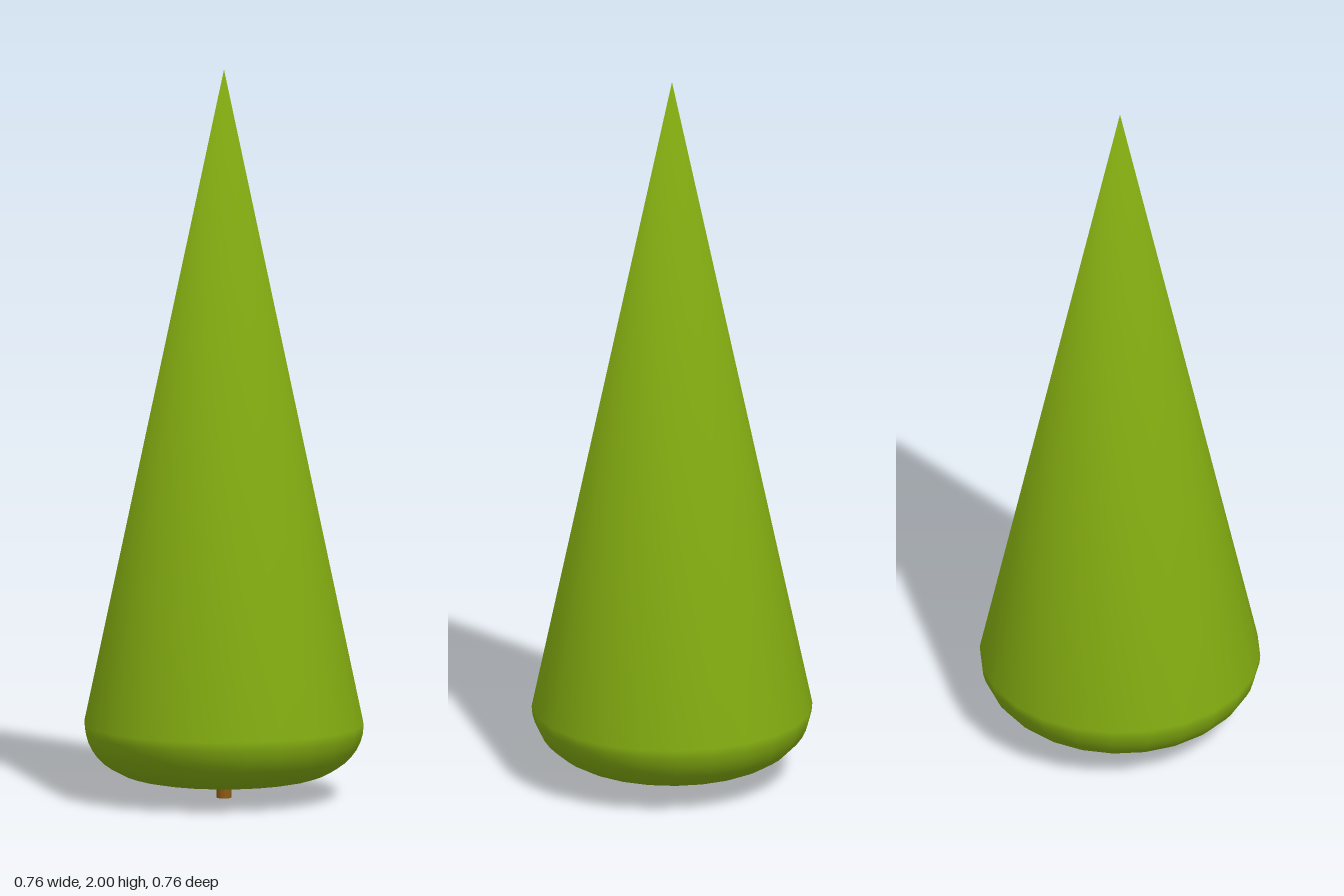
import * as THREE from 'three';
import { mergeVertices } from 'three/addons/utils/BufferGeometryUtils.js';

const SIDES = 24;
const TURN = THREE.MathUtils.degToRad(3.75);

// Revolve a profile and weld it, so normals blend smoothly over tip and rim
function smoothLathe(profile) {
  const geometry = new THREE.LatheGeometry(profile, SIDES, TURN);
  geometry.deleteAttribute('normal');
  geometry.deleteAttribute('uv');
  const welded = mergeVertices(geometry, 1e-4);
  welded.computeVertexNormals();
  return welded;
}

export function createModel() {
  const tree = new THREE.Group();
  tree.name = 'coniferTree';

  // Foliage: flat underside, rounded skirt, straight cone to the tip
  const profile = [new THREE.Vector2(0, 0.053)];
  const steps = 10;
  for (let i = 0; i <= steps; i++) {
    const a = (i / steps) * Math.PI / 2;
    profile.push(new THREE.Vector2(0.2 + 0.182 * Math.sin(a), 0.205 - 0.152 * Math.cos(a)));
  }
  profile.push(new THREE.Vector2(0, 2));
  const foliage = new THREE.Mesh(
    smoothLathe(profile),
    new THREE.MeshStandardMaterial({ color: 0x80a810 })
  );
  foliage.name = 'foliage';
  tree.add(foliage);

  // Trunk: short stem running a little way into the foliage
  const trunk = new THREE.Mesh(
    new THREE.CylinderGeometry(0.021, 0.021, 0.1, 12),
    new THREE.MeshStandardMaterial({ color: 0x8b5a14 })
  );
  trunk.name = 'trunk';
  trunk.position.y = 0.05;
  tree.add(trunk);

  return tree;
}
